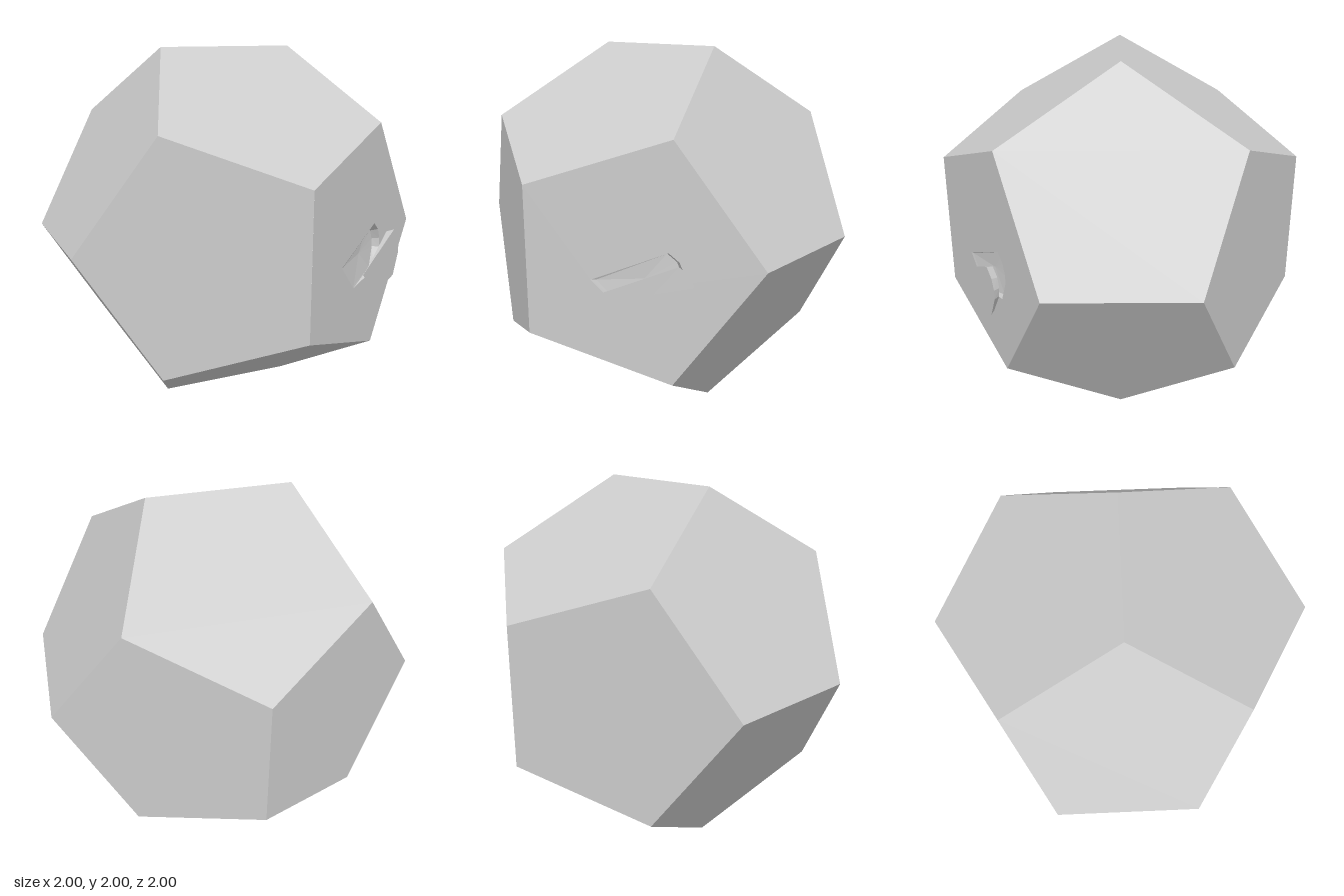
import * as THREE from 'three';

const material = () => new THREE.MeshStandardMaterial({ color: 0xcccccc, flatShading: true });
const CUBE = 0.618;                    // half side of the cube inscribed in the solid
const TILT = Math.atan2(0.526, 0.851); // heading of the chipped face
const APOTHEM = 0.8507;                // distance from centre to each face

// Chip outline on its face plane, counter-clockwise; the first and last points form the thin edge
const OUTLINE = [
  [0.007, -0.265], [0.26, -0.225], [0.318, -0.11], [0.318, -0.06],
  [0.295, -0.005], [0.242, 0.04], [-0.14, -0.115],
].map(([u, v]) => new THREE.Vector3(u, v, 0));
const CENTER = new THREE.Vector3(0.12, -0.105, -0.03);

// Shallow bowl below the outline, deepening away from the thin edge
function bowlTriangles() {
  const inner = OUTLINE.map((p) => {
    const q = p.clone().lerp(CENTER, 0.1);
    q.z = -0.002 - 0.1 * Math.max(0, (q.x + 0.14 + q.y + 0.115) * 0.707);
    return q;
  });
  const tris = [];
  OUTLINE.forEach((p, i) => {
    const j = (i + 1) % OUTLINE.length;
    tris.push([p, OUTLINE[j], inner[j]], [p, inner[j], inner[i]], [CENTER, inner[i], inner[j]]);
  });
  return tris;
}

function fromTriangles(tris) {
  const geometry = new THREE.BufferGeometry().setFromPoints(tris.flat());
  geometry.computeVertexNormals();
  return geometry;
}

function addMesh(parent, name, geometry) {
  const mesh = new THREE.Mesh(geometry, material());
  mesh.name = name;
  parent.add(mesh);
  return mesh;
}

export function createModel() {
  const model = new THREE.Group();
  model.name = 'chippedDodecahedron';

  // Eleven intact faces
  const pos = new THREE.DodecahedronGeometry(CUBE * Math.sqrt(3)).getAttribute('position');
  const chippedNormal = new THREE.Vector3(Math.sin(TILT), 0, Math.cos(TILT));
  const intact = [];
  for (let i = 0; i < pos.count; i += 3) {
    const tri = [0, 1, 2].map((k) => new THREE.Vector3().fromBufferAttribute(pos, i + k));
    const normal = new THREE.Triangle(...tri).getNormal(new THREE.Vector3());
    if (normal.dot(chippedNormal) < 0.95) intact.push(tri);
  }
  addMesh(model, 'body', fromTriangles(intact)).position.y = 1;

  // Local frame of the chipped face: z points outward
  const face = new THREE.Group();
  face.name = 'chippedFace';
  face.position.copy(chippedNormal).multiplyScalar(APOTHEM);
  face.position.y = 1;
  face.rotation.y = TILT;
  model.add(face);

  // Pentagon with the chip's outline cut out
  const dentShift = new THREE.Vector3(-0.062, 0.035, 0);
  const pentagon = new THREE.Shape(Array.from({ length: 5 }, (_, k) => {
    const a = (k * Math.PI * 2) / 5;
    return new THREE.Vector2(0.65 * Math.cos(a), 0.65 * Math.sin(a));
  }));
  pentagon.holes.push(new THREE.Path(
    OUTLINE.map((p) => new THREE.Vector2(p.x + dentShift.x, p.y + dentShift.y)).reverse()));
  addMesh(face, 'facePanel', new THREE.ShapeGeometry(pentagon));

  // Dent left in the face
  const bowl = bowlTriangles();
  addMesh(face, 'dent', fromTriangles(bowl)).position.copy(dentShift);

  // Loose chip hovering in front of the dent: flat outside, bowl underneath
  const cap = OUTLINE.map((p, i) =>
    [new THREE.Vector3(CENTER.x, CENTER.y, 0), p, OUTLINE[(i + 1) % OUTLINE.length]]);
  const underside = bowl.map(([a, b, c]) => [a, c, b]);
  addMesh(face, 'chip', fromTriangles([...cap, ...underside])).position.z = 0.089;

  return model;
}
